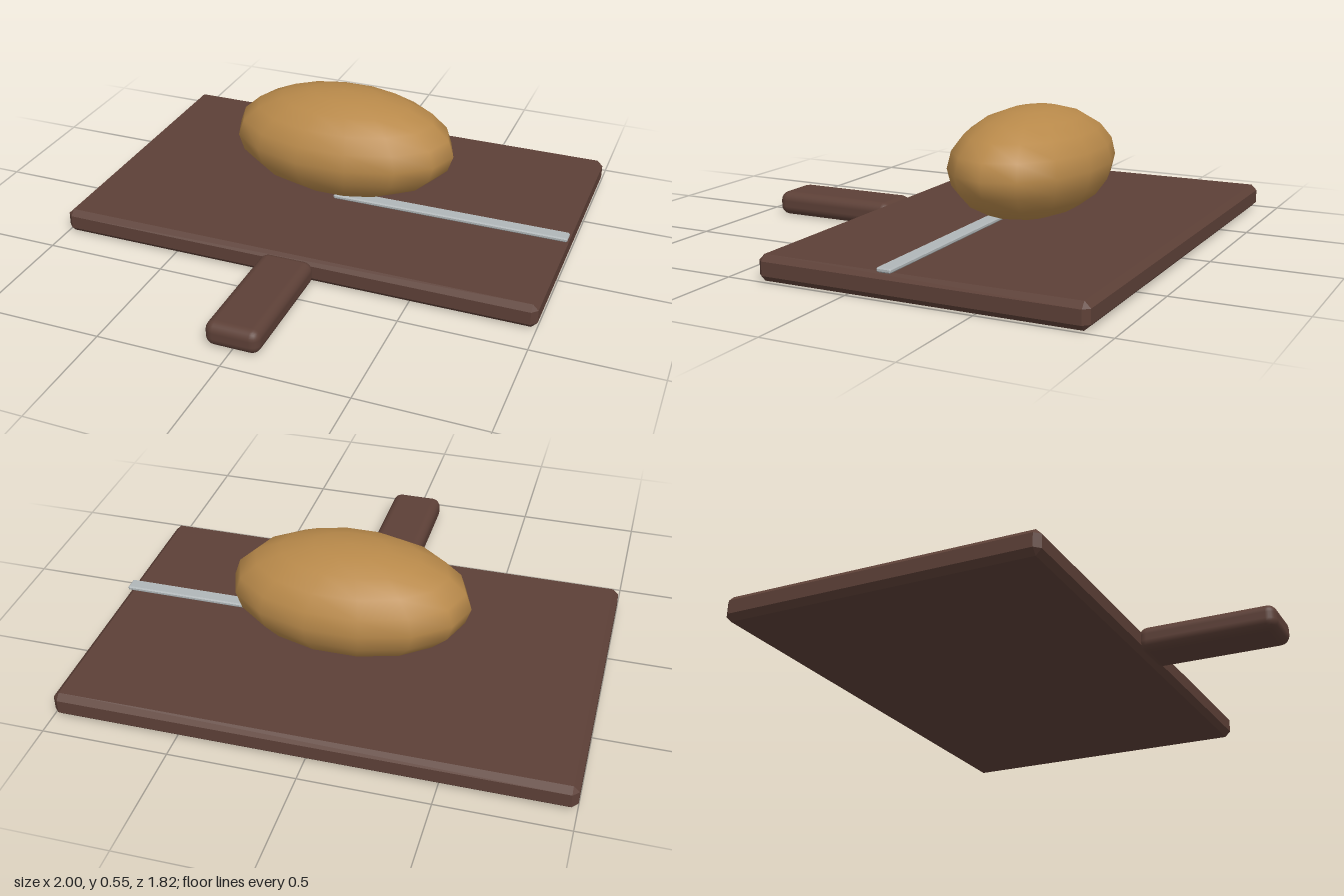
import * as THREE from 'three';
import { RoundedBoxGeometry } from 'three/addons/geometries/RoundedBoxGeometry.js';
import { ConvexGeometry } from 'three/addons/geometries/ConvexGeometry.js';

// Box with every edge and corner cut flat by c
function chamferedBox(w, h, d, c) {
  const points = [];
  for (const sx of [-1, 1]) for (const sy of [-1, 1]) for (const sz of [-1, 1]) {
    const x = w / 2, y = h / 2, z = d / 2;
    points.push(
      new THREE.Vector3(sx * x, sy * (y - c), sz * (z - c)),
      new THREE.Vector3(sx * (x - c), sy * y, sz * (z - c)),
      new THREE.Vector3(sx * (x - c), sy * (y - c), sz * z));
  }
  return new ConvexGeometry(points);
}

function material(name, color) {
  const m = new THREE.MeshStandardMaterial({ color });
  m.name = name;
  return m;
}

export function createModel() {
  const group = new THREE.Group();
  group.name = 'breadBoard';
  const wood = material('dark wood', 0x5d4037);
  const crust = material('golden crust', 0xb8894a);
  const steel = material('steel', 0xb0b6b8);

  const add = (name, geometry, mat, x, y, z) => {
    const mesh = new THREE.Mesh(geometry, mat);
    mesh.name = name;
    mesh.position.set(x, y, z);
    group.add(mesh);
  };

  // Board slab and its rounded grip
  add('board', chamferedBox(2, 0.1, 1.285, 0.023), wood, 0, 0.05, -0.267);
  add('handle', new RoundedBoxGeometry(0.22, 0.1, 0.55, 3, 0.038), wood, 0, 0.05, 0.636);

  // Loaf: a stretched, coarse sphere
  const loaf = new THREE.SphereGeometry(1, 14, 10);
  loaf.scale(0.48, 0.222, 0.298);
  add('loaf', loaf, crust, 0, 0.325, -0.259);

  // Thin blade lying partly under the loaf
  add('blade', chamferedBox(1, 0.018, 0.058, 0.005), steel, 0.5, 0.109, -0.157);

  return group;
}
